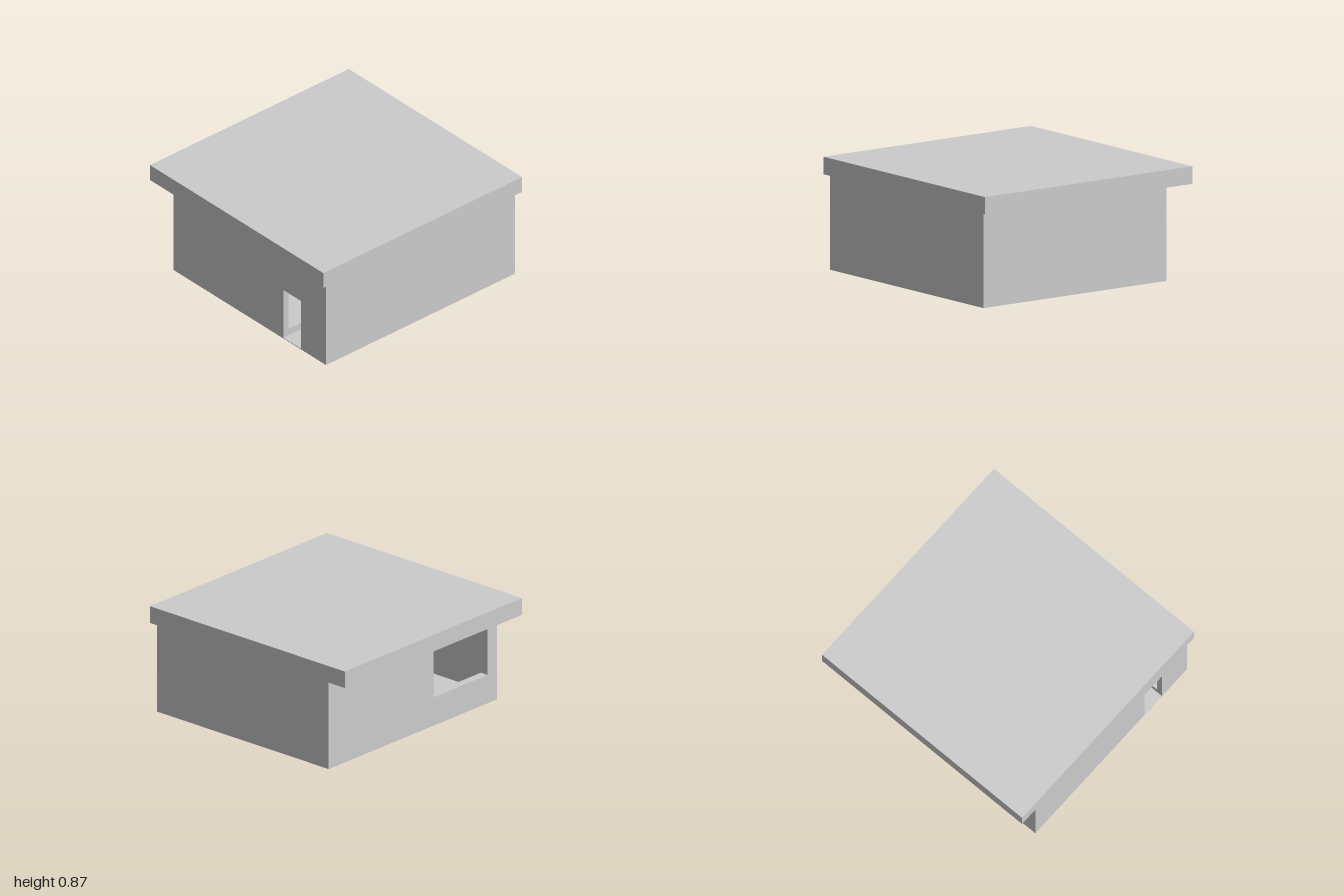
import * as THREE from 'three';

const material = new THREE.MeshStandardMaterial({ color: 0xcccccc, flatShading: true });

// Outer faces of the walls, and the main heights
const X = 0.95, BACK = -0.78, FRONT = 0.965, WALL_TOP = 0.73, ROOF_TOP = 0.865;
// Wall thicknesses, floor level and the entry threshold level
const SIDE_T = 0.05, BACK_T = 0.07, FRONT_T = 0.055, FLOOR = 0.065, STEP = 0.006;
// Doorway along z, and how far the sunken entry reaches into the room
const DOOR = { z0: 0.477, z1: 0.678, top: 0.438, inner: -0.72 };
const WINDOW = { x0: -0.846, x1: -0.235, y0: 0.23, y1: 0.61 };

const polygon = (points) => new THREE.Shape(points.map(([x, y]) => new THREE.Vector2(x, y)));
const rect = (x0, y0, x1, y1) => [[x0, y0], [x1, y0], [x1, y1], [x0, y1]];

function addMesh(group, name, geometry) {
  const mesh = new THREE.Mesh(geometry, material);
  mesh.name = name;
  group.add(mesh);
  return mesh;
}

// Box given by its two opposite corners
function addBox(group, name, [x0, y0, z0], [x1, y1, z1]) {
  const mesh = addMesh(group, name, new THREE.BoxGeometry(x1 - x0, y1 - y0, z1 - z0));
  mesh.position.set((x0 + x1) / 2, (y0 + y1) / 2, (z0 + z1) / 2);
}

const extrude = (shape, depth) => new THREE.ExtrudeGeometry(shape, { depth, bevelEnabled: false });

export function createModel() {
  const house = new THREE.Group();
  house.name = 'house';
  const inX = X - SIDE_T, inBack = BACK + BACK_T, inFront = FRONT - FRONT_T;

  // Flat roof slab, overhanging most at the back
  addBox(house, 'roof', [-1, WALL_TOP, -0.99], [1, ROOF_TOP, 0.99]);

  // Plain walls
  addBox(house, 'frontWall', [-inX, 0, inFront], [inX, WALL_TOP, FRONT]);
  addBox(house, 'leftWall', [inX, 0, BACK], [X, WALL_TOP, FRONT]);

  // Back wall with its window opening
  const backShape = polygon(rect(-inX, 0, inX, WALL_TOP));
  backShape.holes.push(polygon(rect(WINDOW.x0, WINDOW.y0, WINDOW.x1, WINDOW.y1)));
  addMesh(house, 'backWall', extrude(backShape, BACK_T)).position.z = BACK;

  // Right wall with the doorway, drawn in z and y, then turned sideways
  const rightShape = polygon(rect(BACK, 0, FRONT, WALL_TOP));
  rightShape.holes.push(polygon(rect(DOOR.z0, STEP, DOOR.z1, DOOR.top)));
  const rightWall = addMesh(house, 'rightWall', extrude(rightShape, SIDE_T));
  rightWall.rotation.y = -Math.PI / 2;
  rightWall.position.x = -inX;

  // Thin base, and the raised floor notched for the sunken entry
  addBox(house, 'base', [-inX, 0, inBack], [inX, STEP, inFront]);
  const floorShape = polygon([
    [-inX, -inFront], [inX, -inFront], [inX, -inBack], [-inX, -inBack],
    [-inX, -DOOR.z0], [DOOR.inner, -DOOR.z0], [DOOR.inner, -DOOR.z1], [-inX, -DOOR.z1],
  ]);
  const floor = addMesh(house, 'floor', extrude(floorShape, FLOOR - STEP));
  floor.rotation.x = -Math.PI / 2;
  floor.position.y = STEP;

  return house;
}
